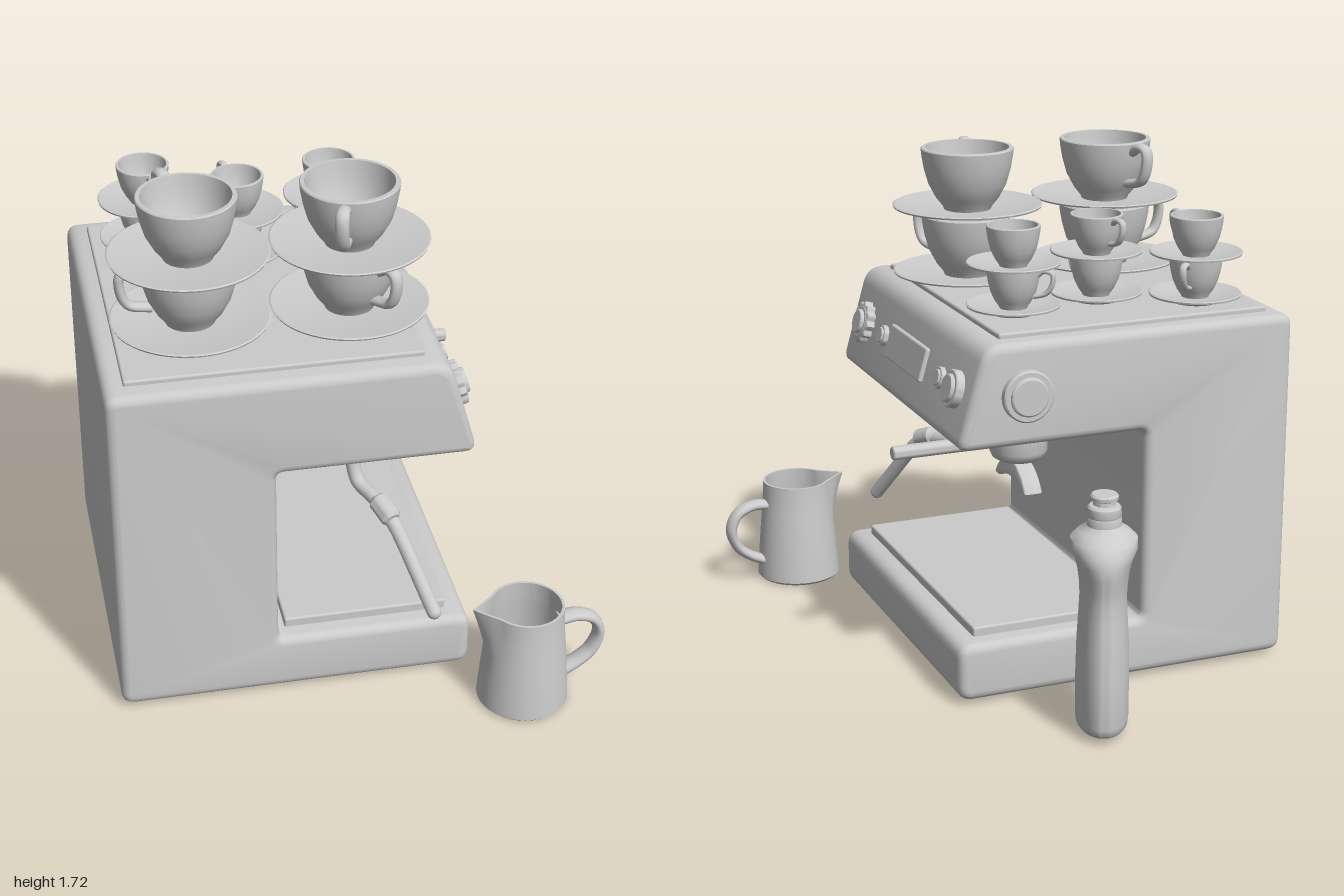
import * as THREE from 'three';
import { toCreasedNormals } from 'three/addons/utils/BufferGeometryUtils.js';
import { RoundedBoxGeometry } from 'three/addons/geometries/RoundedBoxGeometry.js';

const grey = new THREE.MeshStandardMaterial({ color: 0xcccccc });
const V = (x, y, z) => new THREE.Vector3(x, y, z);

function add(parent, name, geometry, x = 0, y = 0, z = 0) {
  const m = new THREE.Mesh(geometry, grey);
  m.name = name;
  m.position.set(x, y, z);
  parent.add(m);
  return m;
}
function group(parent, name, x = 0, y = 0, z = 0) {
  const g = new THREE.Group();
  g.name = name;
  g.position.set(x, y, z);
  parent.add(g);
  return g;
}
const rawLathe = (pts, seg = 48) => new THREE.LatheGeometry(pts.map(([r, y]) => new THREE.Vector2(r, y)), seg);
const lathe = (pts, seg) => toCreasedNormals(rawLathe(pts, seg), 0.6);
const box = (w, h, d, r = 0.008) => new RoundedBoxGeometry(w, h, d, 2, r);
const tube = (pts, r, seg = 40) => new THREE.TubeGeometry(new THREE.CatmullRomCurve3(pts), seg, r, 12);

// Polygon with every corner rounded: entries are [x, y, radius]
function roundedShape(corners) {
  const s = new THREE.Shape();
  corners.forEach(([x, y, r], i) => {
    const n = corners.length;
    const p = new THREE.Vector2(x, y);
    const toward = ([a, b]) => new THREE.Vector2(a, b).sub(p).setLength(r).add(p);
    const a = toward(corners[(i + n - 1) % n]);
    const b = toward(corners[(i + 1) % n]);
    if (i) s.lineTo(a.x, a.y); else s.moveTo(a.x, a.y);
    s.quadraticCurveTo(x, y, b.x, b.y);
  });
  s.closePath();
  return s;
}

// Extrusion centred on z, bevel kept inside the outline
function extrude(shape, depth, bevel, curveSegments = 6) {
  const g = new THREE.ExtrudeGeometry(shape, {
    depth: depth - 2 * bevel, bevelEnabled: true, bevelThickness: bevel, bevelSize: bevel,
    bevelOffset: -bevel, bevelSegments: 4, curveSegments,
  });
  g.translate(0, 0, bevel - depth / 2);
  return toCreasedNormals(g, 0.6);
}

// Round knob with a raised, recessed-edge cap, axis along y
const knobGeometry = (r, h) => lathe([[r, -0.02], [r, h * 0.6], [r * 0.94, h * 0.72], [r * 0.76, h * 0.72],
  [r * 0.74, h * 0.9], [r * 0.68, h], [0, h]]);

// Cup and saucer; angle turns the handle about y
function cupAndSaucer(parent, size, y, angle) {
  const { R, H, saucerR, lift, reach } = size;
  const g = group(parent, 'cupAndSaucer', 0, y, 0);
  add(g, 'saucer', lathe([[0, 0], [saucerR * 0.5, 0], [saucerR * 0.56, 0.008], [saucerR * 0.99, lift - 0.006],
    [saucerR, lift], [saucerR * 0.98, lift + 0.003], [saucerR * 0.52, 0.018], [0, 0.016]], 56));
  const h = H - 0.014;
  add(g, 'cup', lathe([[0, 0], [R * 0.5, 0], [R * 0.53, h * 0.06], [R * 0.68, h * 0.2], [R * 0.84, h * 0.42],
    [R * 0.93, h * 0.65], [R * 0.98, h * 0.85], [R, h * 0.98], [R * 0.98, h], [R * 0.9, h], [R * 0.87, h * 0.85],
    [R * 0.82, h * 0.65], [R * 0.72, h * 0.42], [R * 0.54, h * 0.2], [R * 0.3, h * 0.1], [0, h * 0.08]]), 0, 0.014, 0);
  const t = R * 0.1;
  const handle = add(g, 'cupHandle', tube([V(R * 0.92, h * 0.84, 0), V(R * 1.15, h * 0.94, 0), V(reach - t * 1.3, h * 0.9, 0),
    V(reach - t, h * 0.68, 0), V(R * 1.25, h * 0.42, 0), V(R * 0.78, h * 0.32, 0)], t), 0, 0.014, 0);
  handle.scale.z = 1.4;
  handle.rotation.y = angle;
}

function createMachine(root) {
  const machine = group(root, 'espressoMachine');
  // C-shaped housing
  const outline = roundedShape([[-0.82, 0.02, 0.045], [0.385, 0.02, 0.05], [0.385, 0.22, 0.05], [-0.28, 0.22, 0.025],
    [-0.28, 0.89, 0.025], [0.387, 0.89, 0.045], [0.288, 1.238, 0.06], [-0.82, 1.238, 0.045]]);
  add(machine, 'housing', extrude(outline, 1.215, 0.03), 0, 0, 0.056);
  add(machine, 'cupTray', box(0.97, 0.035, 1.07), -0.267, 1.238, 0.053);
  add(machine, 'dripTray', box(0.56, 0.05, 1.075), 0.03, 0.227, 0.057);

  // Controls on the tilted front face: local y points out of it
  const panel = group(machine, 'controlPanel', 0.337, 1.065, 0);
  panel.rotation.z = -THREE.MathUtils.degToRad(74.3);
  const scallop = new THREE.Shape();
  for (let i = 0; i < 96; i++) {
    const a = (i / 96) * Math.PI * 2;
    const r = 0.071 + 0.005 * Math.cos(12 * a);
    scallop[i ? 'lineTo' : 'moveTo'](r * Math.cos(a), r * Math.sin(a));
  }
  scallop.closePath();
  const ring = extrude(scallop, 0.045, 0.006);
  ring.rotateX(Math.PI / 2);
  add(panel, 'steamKnobGrip', ring, 0, 0.008, 0.5);
  add(panel, 'steamKnobCap', knobGeometry(0.058, 0.045), 0, 0, 0.5);
  add(panel, 'waterKnob', knobGeometry(0.063, 0.04), 0, 0, -0.41);
  for (const z of [0.306, -0.27]) add(panel, 'button', knobGeometry(0.037, 0.024), 0, 0, z);
  add(panel, 'display', box(0.12, 0.03, 0.36), 0, 0, 0.06);
  const side = add(machine, 'sideKnob', knobGeometry(0.087, 0.038), 0.15, 1.063, -0.551);
  side.rotation.x = -Math.PI / 2;

  // Two brew heads under the overhang
  for (const z of [0.337, -0.228]) {
    add(machine, 'brewPlate', box(0.435, 0.04, 0.41), 0.047, 0.882, z);
    add(machine, 'brewHead', lathe([[0, 0.84], [0.155, 0.84], [0.165, 0.848], [0.165, 0.88]]), 0.047, 0, z);
  }

  // Filter holder with handle and double spout
  const holder = group(machine, 'filterHolder', 0.047, 0, -0.23);
  add(holder, 'basket', lathe([[0, 0.742], [0.075, 0.742], [0.09, 0.752], [0.1, 0.775], [0.1, 0.845]]));
  const handle = add(holder, 'holderHandle', lathe([[0, 0], [0.024, 0], [0.024, 0.36], [0.02, 0.364], [0, 0.364]], 24), 0.09, 0.811, 0);
  handle.rotation.z = -Math.PI / 2;
  const spout = new THREE.Shape();
  spout.moveTo(-0.137, 0.652);
  spout.quadraticCurveTo(-0.11, 0.71, -0.04, 0.735);
  spout.lineTo(-0.04, 0.75);
  spout.lineTo(0.04, 0.75);
  spout.lineTo(0.04, 0.735);
  spout.quadraticCurveTo(0.11, 0.71, 0.137, 0.652);
  spout.lineTo(0.105, 0.65);
  spout.quadraticCurveTo(0, 0.705, -0.105, 0.65);
  spout.closePath();
  const spoutGeometry = extrude(spout, 0.065, 0.008, 10);
  spoutGeometry.rotateY(Math.PI / 2);
  add(holder, 'doubleSpout', spoutGeometry);

  // Steam wand with a thicker joint
  const wand = group(machine, 'steamWand');
  add(wand, 'upperPipe', tube([V(0.037, 0.86, 0.343), V(0.037, 0.77, 0.343), V(0.037, 0.69, 0.343), V(0.05, 0.63, 0.37),
    V(0.085, 0.61, 0.44), V(0.115, 0.597, 0.51)], 0.025));
  const tip = V(0.232, 0.325, 0.745);
  add(wand, 'lowerPipe', tube([V(0.105, 0.602, 0.49), V(0.135, 0.565, 0.555), V(0.16, 0.51, 0.6), V(0.195, 0.42, 0.67), tip], 0.025));
  add(wand, 'nozzle', new THREE.SphereGeometry(0.025, 16, 10), tip.x, tip.y, tip.z);
  const joint = add(wand, 'wandJoint', lathe([[0, -0.05], [0.026, -0.05], [0.036, -0.038], [0.036, 0.038], [0.026, 0.05], [0, 0.05]], 24), 0.112, 0.6, 0.51);
  joint.quaternion.setFromUnitVectors(V(0, 1, 0), V(0.3, -0.28, 0.72).normalize());
}

function createPitcher(root) {
  const pitcher = group(root, 'milkPitcher', 0.525, 0.005, 0.84);
  const body = rawLathe([[0, 0], [0.145, 0], [0.155, 0.01], [0.154, 0.03], [0.146, 0.13], [0.138, 0.22], [0.132, 0.28], [0.128, 0.33],
    [0.126, 0.38], [0.117, 0.38], [0.119, 0.33], [0.123, 0.28], [0.129, 0.22], [0.137, 0.13], [0.144, 0.025], [0, 0.02]], 72);
  // Pull the rim out into a pouring lip toward -x
  const p = body.attributes.position;
  for (let i = 0; i < p.count; i++) {
    const x = p.getX(i), y = p.getY(i), a = Math.abs(Math.atan2(p.getZ(i), -x));
    const k = Math.max(0, 1 - a / 0.6) ** 1.4 * Math.max(0, (y - 0.22) / 0.16);
    p.setXYZ(i, x - 0.06 * k, y + 0.004 * k, p.getZ(i));
  }
  add(pitcher, 'pitcherBody', toCreasedNormals(body, 0.8));
  const handle = add(pitcher, 'pitcherHandle', tube([V(0.115, 0.295, 0), V(0.18, 0.3, 0), V(0.24, 0.275, 0), V(0.268, 0.215, 0),
    V(0.245, 0.145, 0), V(0.2, 0.105, 0), V(0.14, 0.075, 0)], 0.019));
  handle.scale.z = 1.7;
  handle.rotation.y = 0.09;
}

function createBottle(root) {
  const bottle = group(root, 'soapBottle', 0.01, 0, -0.855);
  bottle.rotation.y = -0.37;
  const body = rawLathe([[0, 0.027], [0.135, 0.027], [0.147, 0.037], [0.152, 0.06], [0.152, 0.2], [0.147, 0.32], [0.138, 0.41], [0.133, 0.47],
    [0.137, 0.52], [0.148, 0.565], [0.15, 0.6], [0.142, 0.635], [0.12, 0.665], [0.085, 0.69], [0.057, 0.705], [0.05, 0.72]], 56);
  // Flatten the body into an oval that turns round at the neck
  const p = body.attributes.position;
  for (let i = 0; i < p.count; i++) {
    const t = THREE.MathUtils.smoothstep(p.getY(i), 0.57, 0.71);
    p.setX(i, p.getX(i) * (0.57 + 0.43 * t));
  }
  add(bottle, 'bottleBody', toCreasedNormals(body, 0.7));
  add(bottle, 'bottleCap', lathe([[0.056, 0.7], [0.057, 0.725], [0.054, 0.735], [0.056, 0.74], [0.054, 0.765], [0.048, 0.772], [0.036, 0.774],
    [0.035, 0.787], [0.045, 0.792], [0.046, 0.803], [0.04, 0.81], [0, 0.81]], 32));
}

function createCups(root) {
  const large = { R: 0.163, H: 0.235, saucerR: 0.264, lift: 0.034, reach: 0.245 };
  const small = { R: 0.091, H: 0.155, saucerR: 0.158, lift: 0.03, reach: 0.145 };
  // [size, x, z, lower handle direction, upper handle direction]
  const stacks = [
    [large, -0.493, 0.273, [-1, 0.1], [-0.055, -0.2]],
    [large, 0.035, 0.273, [0.11, 0.2], [-0.065, 0.2]],
    [small, -0.562, -0.325, [0.1, -0.1], [0.02, 0.12]],
    [small, -0.26, -0.177, [0.03, 0.12], [-0.03, -0.11]],
    [small, 0.07, -0.24, [-0.1, -0.08], [-0.04, 0.115]],
  ];
  for (const [size, x, z, ...directions] of stacks) {
    const stack = group(root, 'cupStack', x, 1.256, z);
    const pitch = size === large ? 0.234 : 0.143;
    directions.forEach(([dx, dz], i) => cupAndSaucer(stack, size, i * pitch, Math.atan2(-dz, dx)));
  }
}

export function createModel() {
  const root = new THREE.Group();
  root.name = 'coffeeStation';
  createMachine(root);
  createPitcher(root);
  createBottle(root);
  createCups(root);
  return root;
}
